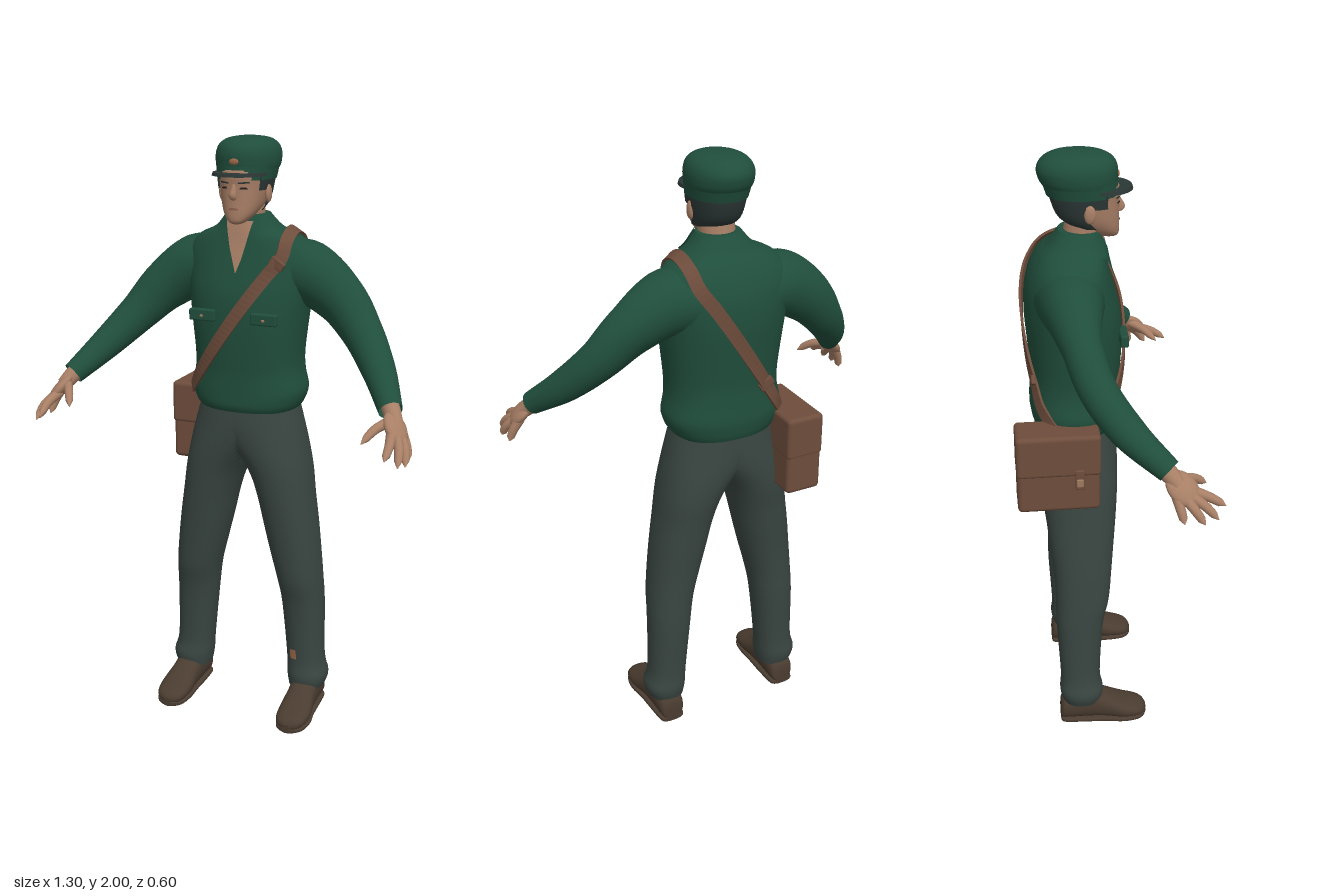
import * as THREE from 'three';
import { RoundedBoxGeometry } from 'three/addons/geometries/RoundedBoxGeometry.js';

const mat = (name, color) => new THREE.MeshStandardMaterial({ name, color, side: THREE.DoubleSide });
const M = {
  shirt: mat('shirtGreen', 0x204e3c), trousers: mat('trouserGrey', 0x394541), skin: mat('skin', 0xa87f66),
  leather: mat('leatherBrown', 0x6e4d3c), shoe: mat('shoeBrown', 0x4a3c30), hair: mat('darkHair', 0x2b3735),
  dark: mat('eyeDark', 0x2a211d), lips: mat('lips', 0x8f6150), metal: mat('dullBrass', 0x9c7a5c), copper: mat('copper', 0x9a6648),
};
const V = p => new THREE.Vector3(...p);

// Rings are [y, centreX, halfWidth, zFront, zBack], listed from bottom to top.
function dense(rings, k = 4) {
  const out = [], n = rings.length, get = i => rings[Math.min(n - 1, Math.max(0, i))];
  for (let i = 0; i < n - 1; i++) for (let j = 0; j < k; j++) {
    const t = j / k;
    out.push(rings[i].map((b, c) => {
      const a = get(i - 1)[c], d = rings[i + 1][c], e = get(i + 2)[c];
      return b + 0.5 * t * (d - a + t * (2 * a - 5 * b + 4 * d - e + t * (3 * (b - d) + e - a)));
    }));
  }
  return [...out, rings[n - 1]];
}

function mesh3(pos, idx) {
  const g = new THREE.BufferGeometry();
  g.setAttribute('position', new THREE.Float32BufferAttribute(pos, 3));
  g.setIndex(idx);
  g.computeVertexNormals();
  return g;
}

// Skin of superelliptic cross-sections; a partial arc is left open.
function loft(rings, p = 2.3, seg = 36, from = 0, arc = Math.PI * 2) {
  const closed = arc > 6.28, cols = closed ? seg : seg + 1, pos = [], idx = [];
  const first = rings[0], last = rings[rings.length - 1], rows = rings.map(r => [r, 1]);
  if (closed) { rows.unshift([first, 0], [first, 1]); rows.push([last, 1], [last, 0]); }
  const pw = v => Math.sign(v) * Math.abs(v) ** (2 / p);
  rows.forEach(([[y, cx, hw, f, b], s], i) => {
    for (let j = 0; j < cols; j++) {
      const a = from + arc * j / seg;
      pos.push(cx + s * hw * pw(Math.cos(a)), y, (f + b) / 2 + s * (f - b) / 2 * pw(Math.sin(a)));
    }
    if (i) for (let j = 0; j < seg; j++) {
      const a = (i - 1) * cols + j, c = (i - 1) * cols + (j + 1) % cols;
      idx.push(a, a + cols, c, c, a + cols, c + cols);
    }
  });
  return mesh3(pos, idx);
}

// Depth of a lofted body at (x, y), on its front (1) or back (-1).
function surfZ(rings, x, y, side = 1, p = 2.3) {
  let i = 0;
  while (i < rings.length - 2 && rings[i + 1][0] < y) i++;
  const A = rings[i], B = rings[i + 1], t = THREE.MathUtils.clamp((y - A[0]) / (B[0] - A[0]), 0, 1);
  const [, cx, hw, f, b] = A.map((v, c) => v + (B[c] - v) * t);
  return (f + b) / 2 + side * (f - b) / 2 * (1 - Math.min(1, Math.abs(x - cx) / hw) ** p) ** (1 / p);
}

// Thin patch draped on the front of a body; corners are bl, br, tr, tl.
function patch(rings, [a, b, c, d], off, n = 8) {
  const pos = [], idx = [];
  for (let i = 0; i <= n; i++) for (let j = 0; j <= n; j++) {
    const v = i / n, u = j / n, q = i * (n + 1) + j;
    const [x, y] = [0, 1].map(k => (a[k] * (1 - u) + b[k] * u) * (1 - v) + (d[k] * (1 - u) + c[k] * u) * v);
    pos.push(x, y, surfZ(rings, x, y) + off);
    if (i < n && j < n) idx.push(q, q + 1, q + n + 2, q, q + n + 2, q + n + 1);
  }
  return mesh3(pos, idx);
}

// Tube whose radius, and flattening in z, change along its path.
function limb(points, radii, flat = [1, 1], n = 24, seg = 20) {
  const curve = new THREE.CatmullRomCurve3(points.map(V)), g = new THREE.TubeGeometry(curve, n, 1, seg);
  const P = g.attributes.position, v = new THREE.Vector3();
  const pick = (list, u) => {
    const t = u * (list.length - 1), k = Math.min(list.length - 2, Math.floor(t));
    return THREE.MathUtils.lerp(list[k], list[k + 1], t - k);
  };
  for (let i = 0; i <= n; i++) {
    const c = curve.getPointAt(i / n), u = curve.getUtoTmapping(i / n), r = pick(radii, u), f = pick(flat, u);
    for (let q = i * (seg + 1); q < (i + 1) * (seg + 1); q++) {
      v.fromBufferAttribute(P, q).sub(c).multiplyScalar(r);
      P.setXYZ(q, c.x + v.x, c.y + v.y, c.z + v.z * f);
    }
  }
  return g;
}

// Trouser leg that widens into half of the hips and stops at the midline.
function trouserLeg(rings, s) {
  const g = loft(rings, 2.2, 48), P = g.attributes.position, N = g.attributes.normal, v = new THREE.Vector3();
  for (let i = 0; i < P.count; i++) if (P.getX(i) * s < 0) P.setX(i, 0);
  g.computeVertexNormals();
  for (let i = 0; i < P.count; i++) if (P.getX(i) === 0) N.setXYZ(i, ...v.fromBufferAttribute(N, i).setX(0).normalize());
  return g;
}

export function createModel() {
  const root = new THREE.Group(), ball = new THREE.SphereGeometry(1, 20, 14);
  const add = (name, geo, m, pos = [0, 0, 0], scale = [1, 1, 1]) => {
    const o = new THREE.Mesh(geo, m);
    o.name = name;
    o.position.set(...pos);
    o.scale.set(...scale);
    root.add(o);
    return o;
  };
  // Shirt body
  const torso = dense([[1.112, 0, .17, .036, -.232], [1.135, 0, .186, .045, -.24], [1.18, 0, .2, .045, -.246], [1.24, 0, .188, .045, -.242],
    [1.3, 0, .186, .05, -.24], [1.4, 0, .196, .055, -.248], [1.5, 0, .208, .05, -.255], [1.58, 0, .216, .03, -.25], [1.64, 0, .212, .014, -.232],
    [1.685, 0, .172, .004, -.205], [1.715, 0, .11, 0, -.176], [1.76, 0, .07, -.012, -.142]]);
  add('shirtBody', loft(torso), M.shirt);
  add('openNeck', patch(torso, [[0, 1.575], [0, 1.575], [.058, 1.74], [-.058, 1.74]], .004), M.skin);

  const leg = s => dense([[.085, .222, .062, -.035, -.17], [.13, .225, .072, -.028, -.18], [.2, .215, .066, -.038, -.176],
    [.4, .203, .073, -.025, -.186], [.5, .193, .078, -.004, -.186], [.6, .176, .086, .006, -.19], [.7, .158, .092, .015, -.2],
    [.8, .139, .096, .024, -.21], [.88, .12, .105, .03, -.222], [.94, .095, .12, .034, -.228], [1, .058, .145, .036, -.231],
    [1.07, .015, .172, .036, -.23], [1.14, 0, .168, .03, -.225]].map(([y, c, ...r]) => [y, c * s, ...r]));
  for (const s of [1, -1]) {
    const side = s > 0 ? 'left' : 'right', X = pts => pts.map(([x, ...r]) => [x * s, ...r]);
    add(side + 'TrouserLeg', trouserLeg(leg(s), s), M.trousers);
    // Shoe and sole, lofted from heel to toe
    const shoe = dense([[-.18, .225, .026, -.008, -.055], [-.165, .225, .044, -.006, -.1], [-.08, .226, .05, -.006, -.13],
      [-.02, .228, .052, -.006, -.106], [.04, .231, .058, -.006, -.075], [.09, .231, .052, -.007, -.058],
      [.115, .23, .036, -.009, -.046], [.126, .229, .012, -.016, -.032]]).map(([z, c, ...r]) => [z, c * s, ...r]);
    add(side + 'Shoe', loft(shoe, 2.3), M.shoe).rotation.x = Math.PI / 2;
    add(side + 'Sole', loft(shoe.map(([z, c, w]) => [z, c, w, 0, -.018]), 4), M.shoe).rotation.x = Math.PI / 2;
    // Sleeve and hand
    add(side + 'Sleeve', limb(X([[.08, 1.57, -.12], [.195, 1.568, -.114], [.312, 1.496, -.098], [.402, 1.4, -.06], [.485, 1.302, .02], [.56, 1.21, .13]]),
      [.1, .107, .087, .068, .054, .038], [1.2, .9, .68, .82, 1, 1], 40, 28), M.shirt);
    add(side + 'Wrist', limb(X([[.53, 1.25, .08], [.565, 1.203, .13], [.585, 1.175, .155]]), [.029, .028, .024]), M.skin);
    const along = V([.035 * s, -.055, .05]).normalize(), across = V([.027 * s, -.01, -.067]);
    across.addScaledVector(along, -across.dot(along)).normalize();
    const palm = add(side + 'Palm', ball, M.skin, [.588 * s, 1.166, .166], [.021, .06, .046]);
    palm.quaternion.setFromRotationMatrix(new THREE.Matrix4().makeBasis(along.clone().cross(across), along, across));
    const fingers = [
      ['LittleFinger', [.6, 1.155, .145], [.622, 1.112, .157], [.635, 1.07, .168]], ['RingFinger', [.6, 1.15, .165], [.63, 1.11, .2], [.64, 1.068, .228]],
      ['MiddleFinger', [.595, 1.15, .18], [.618, 1.12, .228], [.628, 1.075, .27]], ['IndexFinger', [.583, 1.155, .19], [.593, 1.132, .248], [.593, 1.1, .297]],
      ['Thumb', [.57, 1.185, .155], [.535, 1.167, .205], [.506, 1.13, .252]]];
    for (const [name, ...pts] of fingers) {
      add(side + name, limb(X(pts), [.017, .016, .015, .014, .0125, .001], [1, 1], 16, 12), M.skin);
    }
    // Collar flap and chest pocket flap with button
    add(side + 'Collar', patch(torso, X([[.004, 1.562], [.062, 1.64], [.108, 1.705], [.05, 1.758]]), .009), M.shirt);
    add(side + 'PocketFlap', new RoundedBoxGeometry(.09, .038, .026, 2, .005), M.shirt, [.108 * s, 1.437, .05]);
    add(side + 'PocketButton', ball, M.metal, [.108 * s, 1.435, .063], [.006, .005, .003]);
  }
  add('trouserPatch', patch(leg(1), [[.18, .2], [.205, .2], [.202, .236], [.178, .236]], .004), M.copper);

  // Head and neck
  add('neck', limb([[0, 1.62, -.09], [0, 1.7, -.075], [0, 1.8, -.06]], [.066, .06, .058]), M.skin);
  const head = dense([[1.733, 0, .014, .036, .0], [1.742, 0, .03, .045, -.025], [1.765, 0, .05, .047, -.075], [1.8, 0, .066, .046, -.13],
    [1.85, 0, .075, .046, -.153], [1.89, 0, .078, .048, -.158], [1.93, 0, .07, .03, -.14]]);
  add('head', loft(head), M.skin);
  const grown = (a, y0) => head.filter(r => r[0] >= y0 && r[0] <= 1.9).map(([y, c, w, f, b]) => [y, c, w + a, f + a, b - a]);
  add('hairBack', loft(grown(.01, 1.768), 2.3, 30, Math.PI * 1.02, Math.PI * .96), M.hair);
  add('hairSides', loft(grown(.006, 1.825), 2.3, 40, Math.PI * .83, Math.PI * 1.34), M.hair);
  add('nose', limb([[0, 1.858, .04], [0, 1.838, .047], [0, 1.824, .051], [0, 1.814, .042]], [.007, .011, .014, .009]), M.skin);
  add('mouth', patch(head, [[-.018, 1.778], [.018, 1.778], [.012, 1.785], [-.012, 1.785]], .003), M.lips);
  for (const s of [1, -1]) {
    const onFace = (name, m, pts) => add(name, patch(head, pts.map(([x, y]) => [x * s, y]), .003), m);
    add('ear', ball, M.skin, [.08 * s, 1.825, -.05], [.01, .029, .018]);
    onFace('eye', M.dark, [[.02, 1.844], [.044, 1.844], [.04, 1.85], [.024, 1.85]]);
    onFace('eyebrow', M.hair, [[.015, 1.86], [.05, 1.862], [.048, 1.867], [.017, 1.865]]);
  }
  // Cap
  add('capBand', loft([[1.87, 0, .091, .046, -.176], [1.912, 0, .098, .044, -.19]], 2.1), M.shirt);
  add('capCrown', loft(dense([[1.903, 0, .098, .042, -.189], [1.92, 0, .102, .043, -.199], [1.95, 0, .102, .042, -.204], [1.976, 0, .091, .03, -.19],
    [1.993, 0, .066, .0, -.16], [2, 0, .028, -.045, -.11]]), 2.05), M.shirt);
  add('capBrim', new THREE.CylinderGeometry(.085, .088, .01, 40), M.hair, [0, 1.888, -.004], [1, 1, 1.06]);
  add('capBadge', ball, M.copper, [0, 1.927, .043], [.016, .01, .005]);

  // Shoulder strap: up the chest, over the left shoulder, down the back
  const front = [], back = [], pos = [], idx = [], N = 80;
  for (let t = 0; t <= 1; t += 1 / 8) {
    const x = -.185 + .33 * t, y = 1.165 + .465 * t, x2 = .135 - .31 * t, y2 = 1.635 - .475 * t;
    front.push(V([x, y, surfZ(torso, x, y) + .008]));
    back.push(V([x2, y2, surfZ(torso, x2, y2, -1) - .008]));
  }
  const over = [[.15, 1.68, -.03], [.15, 1.708, -.1], [.146, 1.682, -.182]].map(V);
  const curve = new THREE.CatmullRomCurve3([...front, ...over, ...back]);
  for (let i = 0; i <= N; i++) {
    const c = curve.getPointAt(i / N), T = curve.getTangentAt(i / N);
    const out = V([c.x * .6, Math.max(0, c.y - 1.6) * 1.5, c.z + .1]);
    const W = T.clone().cross(out.addScaledVector(T, -out.dot(T)).normalize());
    for (const [w, h] of [[-.021, -.004], [.021, -.004], [.021, .004], [-.021, .004]]) {
      pos.push(...c.clone().addScaledVector(W, w).addScaledVector(out, h));
    }
    if (i) for (let j = 0; j < 4; j++) {
      const a = i * 4 - 4 + j, b = i * 4 - 4 + (j + 1) % 4;
      idx.push(a, b, a + 4, b, b + 4, a + 4);
    }
  }
  const strap = mesh3(pos, idx).toNonIndexed();
  strap.computeVertexNormals();
  add('shoulderStrap', strap, M.leather);
  const buckle = new RoundedBoxGeometry(.052, .03, .014, 2, .004);
  add('frontBuckle', buckle, M.leather, [.135, 1.612, surfZ(torso, .135, 1.612) + .011]).rotation.z = -.6;
  add('backBuckle', buckle, M.leather, [-.09, 1.29, surfZ(torso, -.09, 1.29, -1) - .009]).rotation.z = -.58;
  // Satchel on the right hip
  add('satchel', new RoundedBoxGeometry(.125, .265, .265, 3, .016), M.leather, [-.203, 1.033, -.172]);
  add('satchelFlap', new RoundedBoxGeometry(.13, .145, .27, 3, .014), M.leather, [-.204, 1.1, -.171]);
  add('satchelTab', new RoundedBoxGeometry(.012, .07, .03, 2, .004), M.leather, [-.27, 1.02, -.105]);
  add('satchelClasp', new RoundedBoxGeometry(.01, .028, .022, 2, .003), M.metal, [-.275, 1.01, -.105]);
  return root;
}
